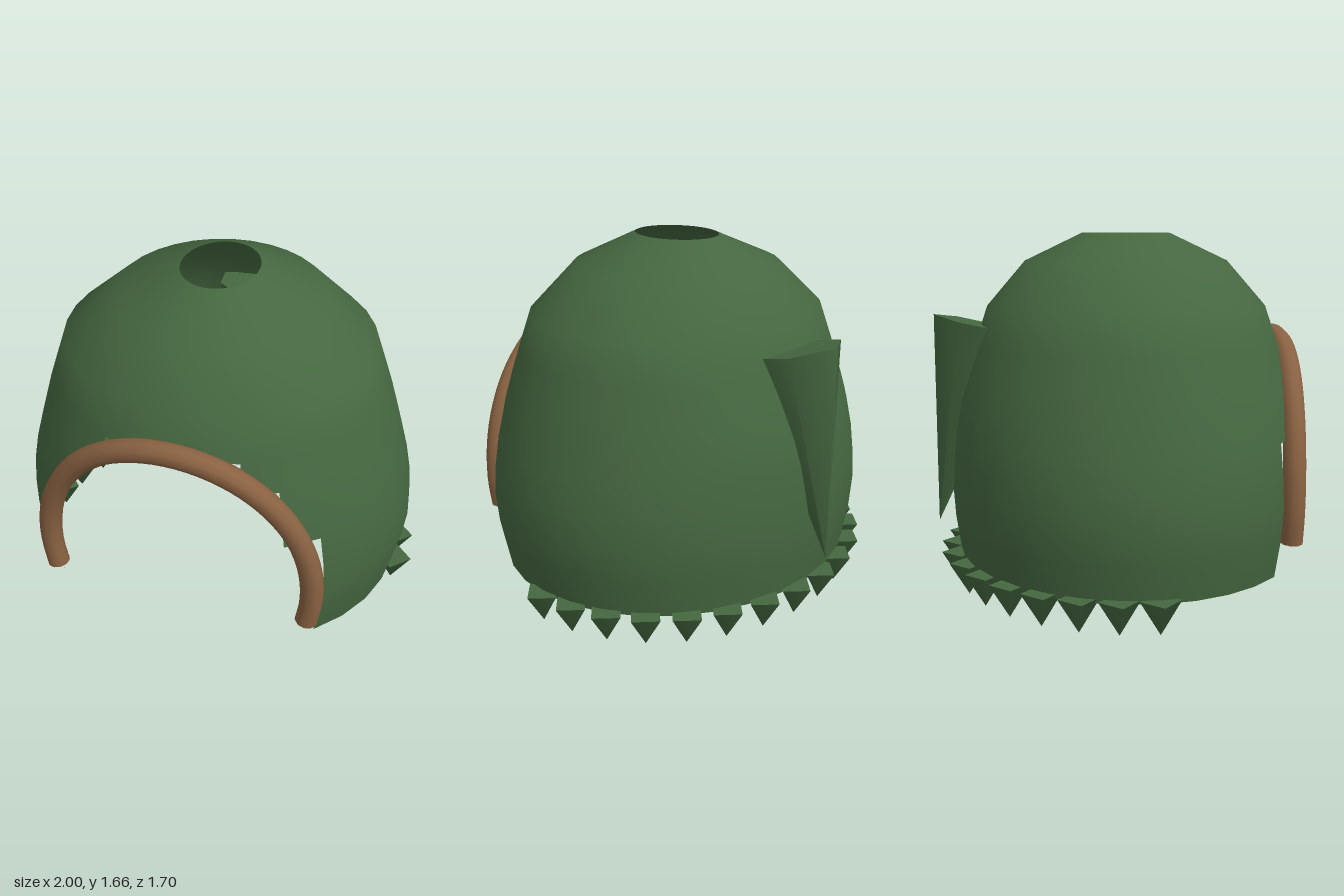
import * as THREE from 'three';

const SEGS = 32;
const CENTRE_Z = 0.065;
const green = new THREE.MeshStandardMaterial({ color: 0x456740, side: THREE.DoubleSide });
const brown = new THREE.MeshStandardMaterial({ color: 0x8a6242, side: THREE.DoubleSide });

function addMesh(parent, name, geometry, material) {
  const mesh = new THREE.Mesh(geometry, material);
  mesh.name = name;
  parent.add(mesh);
  return mesh;
}

// Thin hood: stacked elliptical rings, with a stepped doorway left out at the front
function hoodGeometry() {
  // height, half width, half depth
  const rings = [
    [0.13, 0.9, 0.81], [0.3, 0.935, 0.835], [0.45, 0.95, 0.845], [0.6, 0.935, 0.84],
    [0.74, 0.905, 0.83], [0.88, 0.865, 0.806], [1.0, 0.83, 0.77], [1.14, 0.782, 0.727],
    [1.32, 0.72, 0.665], [1.53, 0.48, 0.485], [1.66, 0.175, 0.213],
  ];
  // rows left open in each column, counted away from the middle of the front
  const openRows = [7, 7, 6, 4];
  const positions = [];
  const index = [];
  for (const [y, rx, rz] of rings) {
    for (let j = 0; j < SEGS; j++) {
      const a = (j / SEGS) * Math.PI * 2;
      positions.push(Math.sin(a) * rx, y, CENTRE_Z + Math.cos(a) * rz);
    }
  }
  for (let i = 0; i < rings.length - 1; i++) {
    for (let j = 0; j < SEGS; j++) {
      const column = Math.min(j, SEGS - 1 - j);
      if (i < (openRows[column] ?? 0)) continue;
      const a = i * SEGS + j;
      const b = i * SEGS + ((j + 1) % SEGS);
      index.push(a, b, b + SEGS, a, b + SEGS, a + SEGS);
    }
  }
  const geometry = new THREE.BufferGeometry();
  geometry.setAttribute('position', new THREE.Float32BufferAttribute(positions, 3));
  geometry.setIndex(index);
  geometry.computeVertexNormals();
  return geometry;
}

// Arched trim that follows the doorway and leans forward at its top
function addArch(parent) {
  const arch = new THREE.Group();
  arch.name = 'doorwayTrim';
  parent.add(arch);
  const radius = 0.053;
  const points = [];
  const start = -0.235;
  for (let i = 0; i <= 20; i++) {
    const a = start + (i / 20) * (Math.PI - 2 * start);
    const y = 0.45 + 0.717 * Math.sin(a);
    const rise = Math.max(0, (y - 0.283) / 0.884);
    points.push(new THREE.Vector3(0.632 * Math.cos(a), y, 0.72 + 0.078 * rise ** 2.6));
  }
  const curve = new THREE.CatmullRomCurve3(points);
  addMesh(arch, 'trimTube', new THREE.TubeGeometry(curve, 48, radius, 10), brown);
  for (const t of [0, 1]) {
    const cap = addMesh(arch, 'trimEnd', new THREE.CircleGeometry(radius, 10), brown);
    const outward = curve.getTangent(t).multiplyScalar(t ? 1 : -1);
    cap.position.copy(curve.getPoint(t));
    cap.quaternion.setFromUnitVectors(new THREE.Vector3(0, 0, 1), outward);
  }
}

// Row of four-sided teeth around the back half of the hem
function addTeeth(parent) {
  const teeth = new THREE.Group();
  teeth.name = 'hemTeeth';
  parent.add(teeth);
  const geometry = new THREE.ConeGeometry(0.09, 0.148, 4);
  geometry.rotateX(Math.PI);
  const count = 16;
  for (let i = 0; i < count; i++) {
    const a = (i / (count - 1)) * Math.PI;
    const tooth = addMesh(teeth, 'tooth', geometry, green);
    tooth.position.set(Math.cos(a) * 0.91, 0.074, CENTRE_Z - Math.sin(a) * 0.82);
  }
}

// Six-sided spike at the back, point down and tilted outward
function addSpike(parent) {
  const height = 0.975;
  const geometry = new THREE.ConeGeometry(0.222, height, 6);
  geometry.rotateX(Math.PI);
  geometry.translate(0, -height / 2, 0);
  const spike = addMesh(parent, 'backSpike', geometry, green);
  spike.position.set(0, 1.232, -0.635);
  spike.rotation.x = 0.222;
}

export function createModel() {
  const model = new THREE.Group();
  model.name = 'hood';
  addMesh(model, 'hoodShell', hoodGeometry(), green);
  addArch(model);
  addTeeth(model);
  addSpike(model);
  return model;
}
